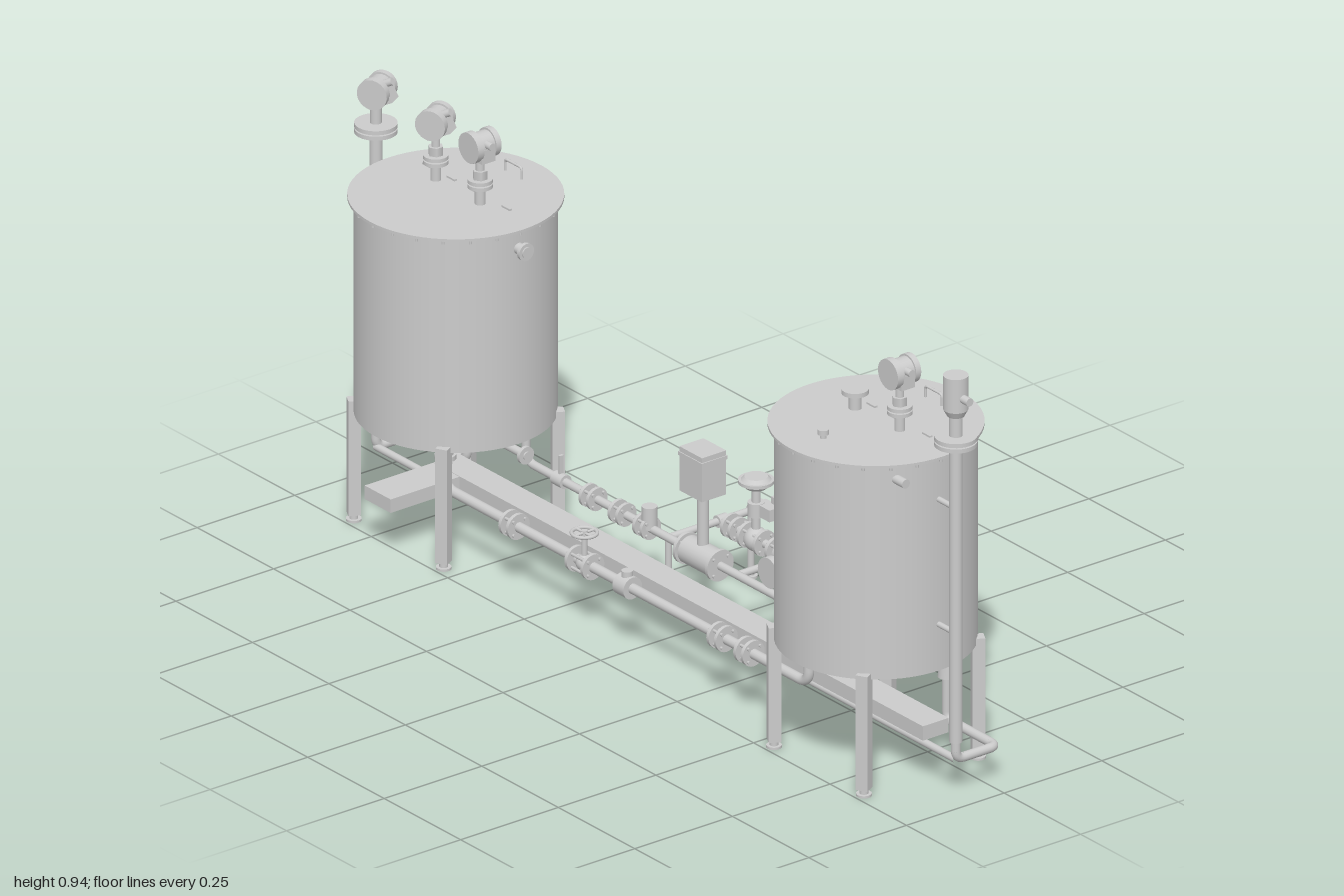
import * as THREE from 'three';

const mat = new THREE.MeshStandardMaterial({ color: 0xcccccc });
const V = (x, y, z) => new THREE.Vector3(x, y, z);
const UP = V(0, 1, 0);

export function createModel() {
  const root = new THREE.Group();
  let parent = root;

  const add = (name, geo) => {
    const m = new THREE.Mesh(geo, mat);
    m.name = name;
    parent.add(m);
    return m;
  };
  const group = (name, x, y, z, build) => {
    const g = new THREE.Group(), old = parent;
    g.name = name;
    g.position.set(x, y, z);
    old.add(g);
    parent = g;
    build();
    parent = old;
    return g;
  };
  const box = (name, w, h, d, x, y, z) => {
    const m = add(name, new THREE.BoxGeometry(w, h, d));
    m.position.set(x, y, z);
    return m;
  };
  // Cylinder between two points
  const rod = (name, a, b, r, r2 = r, seg = 24) => {
    const A = V(...a), B = V(...b), d = B.clone().sub(A);
    const m = add(name, new THREE.CylinderGeometry(r2, r, d.length(), seg));
    m.position.copy(A).add(B).multiplyScalar(0.5);
    m.quaternion.setFromUnitVectors(UP, d.normalize());
    return m;
  };
  // Pipe through corner points with rounded elbows
  const pipe = (name, pts, r, bend = 0.025) => {
    const p = pts.map(q => V(...q)), path = new THREE.CurvePath();
    let last = p[0];
    for (let i = 1; i < p.length - 1; i++) {
      const a = p[i].clone().add(p[i - 1].clone().sub(p[i]).setLength(bend));
      const b = p[i].clone().add(p[i + 1].clone().sub(p[i]).setLength(bend));
      path.add(new THREE.LineCurve3(last, a));
      path.add(new THREE.QuadraticBezierCurve3(a, p[i], b));
      last = b;
    }
    path.add(new THREE.LineCurve3(last, p[p.length - 1]));
    path.curves.forEach(c => add(name, new THREE.TubeGeometry(c, c.isLineCurve3 ? 1 : 8, r, 14)));
  };
  // Pair of bolted flanges on a pipe along x
  const flanges = (x, y, z, r = 0.028, gap = 0.012) => {
    for (const s of [-1, 1]) {
      rod('flange', [x + s * gap - 0.004, y, z], [x + s * gap + 0.004, y, z], r);
    }
    for (let i = 0; i < 4; i++) {
      const a = Math.PI * (i / 2 + 0.25), dy = Math.cos(a) * r * 0.75, dz = Math.sin(a) * r * 0.75;
      rod('flangeBolt', [x - gap - 0.009, y + dy, z + dz], [x + gap + 0.009, y + dy, z + dz], 0.0035, 0.0035, 6);
    }
  };
  const valveBody = (x, y, z, r = 0.018) => {
    add('valveBody', new THREE.SphereGeometry(r, 20, 14)).position.set(x, y, z);
    flanges(x, y, z, 0.028, 0.026);
  };
  // Round instrument head with covers and a cable gland
  const head = (x, y, z, tilt = 0, turn = 0) => {
    const g = group('instrumentHead', x, y, z, () => {
      rod('housing', [0, 0, -0.026], [0, 0, 0.022], 0.027);
      rod('frontCover', [0, 0, 0.014], [0, 0, 0.03], 0.033);
      rod('rearCover', [0, 0, -0.031], [0, 0, -0.018], 0.031);
      box('terminalBox', 0.056, 0.03, 0.034, 0, -0.016, 0);
      rod('cableGland', [0.02, 0.008, 0], [0.04, 0.008, 0], 0.008);
    });
    g.rotation.set(0, turn, tilt);
  };
  const lidTransmitter = (x, z, tilt = 0, turn = 0) => group('lidTransmitter', x, 0.737, z, () => {
    rod('nozzle', [0, 0, 0], [0, 0.05, 0], 0.011);
    rod('lowerFlange', [0, 0.038, 0], [0, 0.046, 0], 0.026);
    rod('upperFlange', [0, 0.049, 0], [0, 0.057, 0], 0.026);
    rod('hexNut', [0, 0.057, 0], [0, 0.076, 0], 0.016, 0.016, 6);
    rod('neck', [0, 0.07, 0], [0, 0.115, 0], 0.009);
    head(0, 0.132, 0, tilt, turn);
  });

  const Z = 0.083, TX = 0.687;

  // Tanks with lid, legs, drain and level standpipe
  for (const s of [-1, 1]) group(s < 0 ? 'rightTank' : 'leftTank', 0, 0, 0, () => {
    const cx = s * TX;
    rod('shell', [cx, 0.257, Z], [cx, 0.733, Z], 0.206, 0.206, 64);
    rod('lid', [cx, 0.732, Z], [cx, 0.738, Z], 0.219, 0.219, 64);
    for (let i = 0; i < 24; i++) {
      const a = i * Math.PI / 12, x = cx + Math.cos(a) * 0.212, z = Z + Math.sin(a) * 0.212;
      rod('rimBolt', [x, 0.724, z], [x, 0.733, z], 0.0035, 0.0035, 6);
    }
    for (const dx of [-0.14, -0.06, 0.02, 0.12]) box('lidHinge', 0.026, 0.004, 0.007, cx + dx, 0.74, 0.046);
    pipe('lidHandle', [[cx - 0.027, 0.737, -0.065], [cx - 0.027, 0.763, -0.065],
      [cx + 0.027, 0.763, -0.065], [cx + 0.027, 0.737, -0.065]], 0.003, 0.008);
    for (const dx of [-1, 1]) for (const dz of [-1, 1]) {
      const x = cx + dx * 0.147, z = Z + dz * 0.146;
      box('leg', 0.026, 0.255, 0.026, x, 0.1425, z).rotation.y = dx * dz * 0.5;
      rod('footStem', [x, 0.003, z], [x, 0.02, z], 0.009);
      rod('footPlate', [x, 0, z], [x, 0.005, z], 0.016);
    }
    // Standpipe and brackets
    const sx = s * 0.948;
    rod('standpipe', [sx, 0.12, Z], [sx, 0.785, Z], 0.0135);
    pipe('standpipeElbow', [[sx, 0.13, Z], [sx, 0.08, Z], [sx, 0.08, -0.022], [s * 0.785, 0.08, -0.022],
      [s * 0.785, 0.26, -0.022]], 0.01, 0.02);
    for (const y of [0.36, 0.638]) rod('standpipeArm', [s * 0.88, y, Z], [sx, y, Z], 0.006);
    for (const y of [0.78, 0.792]) rod('standpipeFlange', [sx, y, Z], [sx, y + 0.009, Z], 0.044, 0.044, 32);
    // Drain valve under the tank
    rod('drainCollar', [s * 0.785, 0.215, -0.022], [s * 0.785, 0.257, -0.022], 0.016);
    rod('drainValve', [s * 0.785, 0.175, -0.022], [s * 0.785, 0.215, -0.022], 0.019, 0.016);
    box('drainLever', 0.008, 0.006, 0.055, s * 0.785, 0.215, -0.04);
    // Side overflow port and sampling valve facing the middle
    for (const [y, r] of [[0.692, 0.012], [0.24, 0.009]]) {
      rod('sidePort', [s * (y > 0.5 ? 0.49 : 0.56), y, Z], [s * 0.452, y, Z], r);
      rod('sidePortFlange', [s * 0.463, y, Z], [s * 0.455, y, Z], 0.019);
    }
    rod('samplingRiser', [s * 0.556, 0.235, Z], [s * 0.556, 0.26, Z], 0.011);
    rod('sideLug', [s * 0.85, 0.7, Z + 0.09], [s * 0.9, 0.7, Z + 0.09], 0.01);
  });

  // Instruments on the lids and standpipes
  lidTransmitter(-0.62, 0.073);
  lidTransmitter(-0.765, 0.073, 0.45, 0.5);
  lidTransmitter(0.752, 0.073);
  rod('standpipeNeck', [-0.948, 0.8, Z], [-0.948, 0.855, Z], 0.012);
  head(-0.955, 0.868, 0.073, 0.45, 0.5);
  group('standpipeMotor', 0.948, 0.8, Z, () => {
    rod('neck', [0, 0, 0], [0, 0.052, 0], 0.014);
    rod('motorBase', [0, 0.045, 0], [0, 0.06, 0], 0.018, 0.026);
    rod('motorHousing', [0, 0.06, 0], [0, 0.135, 0], 0.026);
    rod('motorGland', [0.02, 0.09, 0], [0.046, 0.09, 0], 0.009);
  });
  group('lidNozzle', 0.615, 0.737, 0.08, () => {
    rod('neck', [0, 0, 0], [0, 0.045, 0], 0.013);
    rod('flange', [0, 0.035, 0], [0, 0.045, 0], 0.028);
  });
  rod('lidVent', [TX, 0.737, 0.218], [TX, 0.75, 0.218], 0.007);
  rod('lidVentCap', [TX, 0.747, 0.218], [TX, 0.758, 0.218], 0.012);

  // Cable tray with side branch
  box('cableTray', 1.6, 0.032, 0.066, 0.08, 0.121, 0.081);
  box('cableTrayBranch', 0.085, 0.03, 0.18, -0.678, 0.121, 0.2);
  pipe('lowerPipe', [[-0.948, 0.08, Z], [0.948, 0.08, Z]], 0.008);

  // Front and back transfer lines
  const Y = 0.147, FZ = 0.182, BZ = -0.024;
  for (const [name, z, r] of [['frontPipe', FZ, 0.011], ['backPipe', BZ, 0.009]]) {
    pipe(name, [[-0.594, 0.26, z], [-0.594, Y, z], [0.594, Y, z], [0.594, 0.26, z]], r, 0.03);
    for (const s of [-1, 1]) {
      rod('outletCollar', [s * 0.594, 0.222, z], [s * 0.594, 0.258, z], 0.016);
      rod('outletUnion', [s * 0.594, 0.212, z], [s * 0.594, 0.222, z], 0.022);
      box('outletLever', 0.05, 0.005, 0.008, s * 0.58, 0.22, z + 0.016);
    }
  }
  for (const x of [-0.37, 0.31, 0.398]) flanges(x, Y, FZ);
  for (const x of [-0.375, -0.28, -0.2]) flanges(x, Y, BZ, 0.025);
  for (const x of [-0.48, 0.46]) {
    rod('ballValve', [x - 0.016, Y, BZ], [x + 0.016, Y, BZ], 0.015);
    box('ballValveLever', 0.006, 0.055, 0.01, x, Y + 0.027, BZ);
  }
  valveBody(-0.14, Y, FZ);
  rod('handwheelStem', [-0.14, Y, FZ], [-0.14, 0.218, FZ], 0.006);
  const wheel = add('handwheel', new THREE.TorusGeometry(0.026, 0.004, 8, 28));
  wheel.position.set(-0.14, 0.213, FZ);
  wheel.rotation.x = Math.PI / 2;
  for (const [dx, dz] of [[0.026, 0], [0, 0.026]]) {
    rod('handwheelSpoke', [-0.14 - dx, 0.213, FZ - dz], [-0.14 + dx, 0.213, FZ + dz], 0.003);
  }
  rod('checkValve', [-0.018, Y, FZ], [0.018, Y, FZ], 0.024);
  rod('checkValveCap', [0, Y, FZ], [0, Y + 0.034, FZ], 0.012);
  rod('lineActuator', [-0.19, Y, BZ], [-0.19, 0.195, BZ], 0.016);

  // Flow meter with electronics box
  rod('flowMeter', [-0.06, Y, BZ], [0.03, Y, BZ], 0.03);
  flanges(-0.015, Y, BZ, 0.034, 0.053);
  rod('flowMeterStem', [-0.015, Y, BZ], [-0.015, 0.3, BZ], 0.012);
  box('flowMeterBox', 0.074, 0.098, 0.062, -0.016, 0.338, BZ);
  box('flowMeterBoxRim', 0.078, 0.008, 0.066, -0.016, 0.372, BZ);

  // Line transmitter
  rod('lineTransmitterNeck', [0.235, Y, BZ], [0.235, 0.19, BZ], 0.01);
  head(0.235, 0.21, BZ);

  // Bypass loop with control valve
  const L = -0.128, R = 0.098, LZ = -0.275, CZ = -0.16;
  pipe('bypassLoop', [[L, Y, BZ], [L, Y, LZ], [R, Y, LZ], [R, Y, BZ]], 0.008, 0.025);
  rod('controlBranch', [L, Y, CZ], [R, Y, CZ], 0.009);
  valveBody(-0.015, Y, CZ, 0.026);
  for (const x of [-0.085, 0.06]) flanges(x, Y, CZ, 0.026);
  rod('controlStem', [-0.015, Y, CZ], [-0.015, 0.27, CZ], 0.009);
  rod('actuatorYoke', [-0.015, 0.2, CZ], [-0.015, 0.23, CZ], 0.018);
  rod('actuatorLower', [-0.015, 0.262, CZ], [-0.015, 0.275, CZ], 0.022, 0.033);
  rod('actuatorRim', [-0.015, 0.273, CZ], [-0.015, 0.28, CZ], 0.037);
  rod('actuatorUpper', [-0.015, 0.28, CZ], [-0.015, 0.287, CZ], 0.031, 0.024);
  box('positioner', 0.052, 0.044, 0.036, 0.034, 0.222, -0.198);
  box('positionerBracket', 0.05, 0.026, 0.03, 0.01, 0.216, -0.17);
  for (const x of [L, R]) for (const z of [CZ, -0.245]) rod('loopUnion', [x, Y, z - 0.012], [x, Y, z + 0.012], 0.013);
  for (const x of [-0.06, 0.05]) rod('loopUnion', [x - 0.01, Y, LZ], [x + 0.01, Y, LZ], 0.013);
  rod('bypassValve', [-0.035, Y, LZ], [0.008, Y, LZ], 0.016);
  rod('bypassValveStem', [-0.015, Y, LZ], [-0.015, 0.175, LZ - 0.012], 0.008);
  rod('bypassValveKnob', [-0.015, 0.17, LZ - 0.006], [-0.015, 0.17, LZ - 0.028], 0.014);

  // Support posts
  for (const [x, z] of [[L, -0.235], [R, -0.235], [L, BZ]]) {
    rod('supportPost', [x, 0, z], [x, Y, z], 0.007);
    rod('supportFoot', [x, 0, z], [x, 0.005, z], 0.014);
  }
  return root;
}
